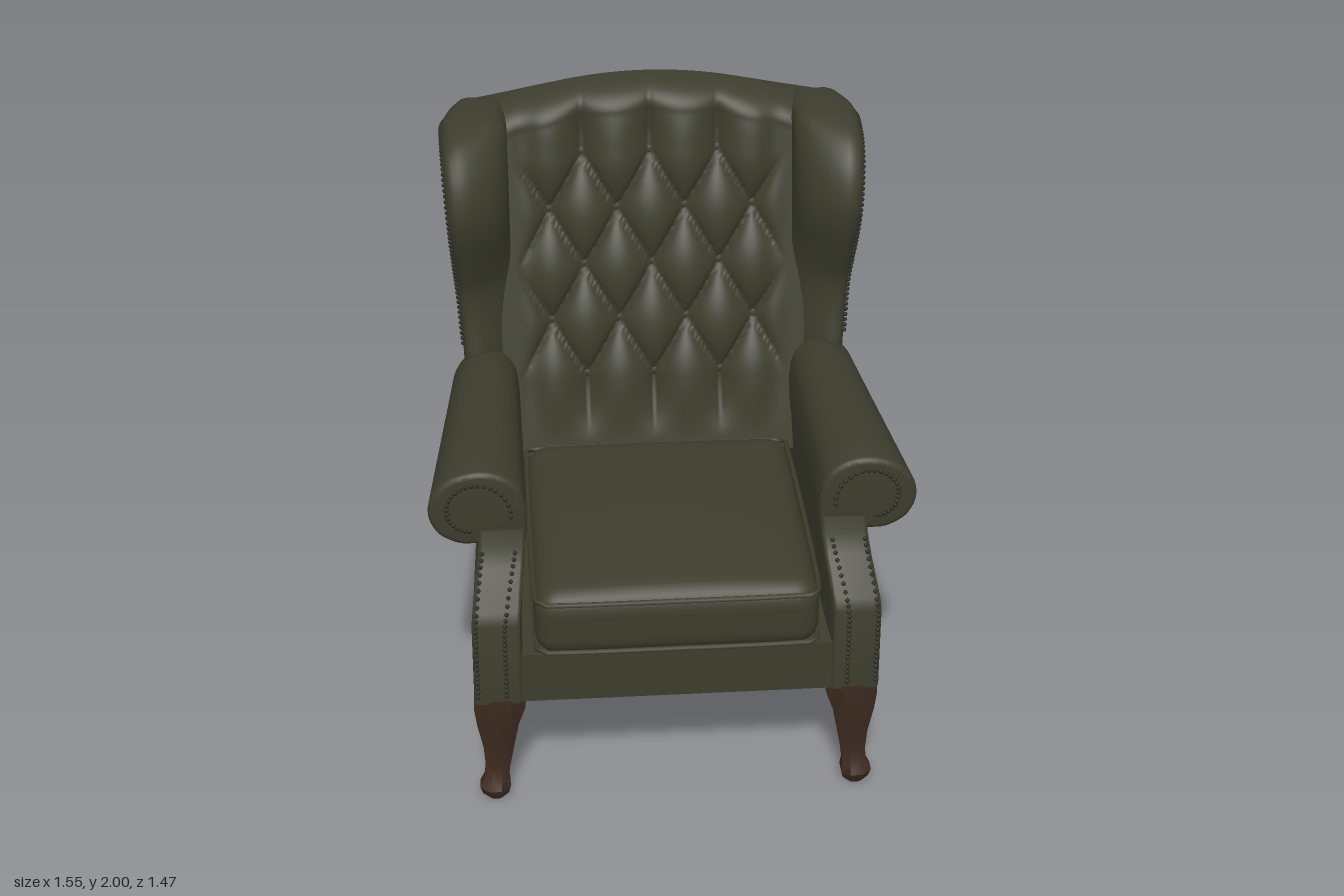
import * as THREE from 'three';
import { toCreasedNormals, mergeVertices, mergeGeometries } from 'three/addons/utils/BufferGeometryUtils.js';

const mat = (name, color) => Object.assign(new THREE.MeshStandardMaterial({ color }), { name });
const V2 = (p) => new THREE.Vector2(p[0], p[1]);
const clamp = THREE.MathUtils.clamp;
const smooth = THREE.MathUtils.smoothstep;

// Move every vertex of a geometry by a rule
function warp(geo, rule) {
  const p = geo.attributes.position, v = new THREE.Vector3();
  for (let i = 0; i < p.count; i++) {
    v.fromBufferAttribute(p, i);
    rule(v);
    p.setXYZ(i, v.x, v.y, v.z);
  }
  return geo;
}

// Extrude a bevelled outline; the bevel stays inside the outline
function extrude(shape, length, bevel, steps = 1, curveSegments = 8) {
  return new THREE.ExtrudeGeometry(shape, {
    depth: length - 2 * bevel, steps, curveSegments, bevelSize: bevel, bevelThickness: bevel,
    bevelOffset: -bevel, bevelSegments: 4,
  }).translate(0, 0, bevel);
}

// Extrude a (z, y) side outline across x, from x0 to x1
function sideways(shape, x0, x1, bevel, steps) {
  return extrude(shape, x1 - x0, bevel, steps).rotateY(-Math.PI / 2).translate(x1, 0, 0);
}

// Smooth welded normals
function weld(geo) {
  geo.deleteAttribute('uv');
  geo.deleteAttribute('normal');
  geo = mergeVertices(geo, 1e-5);
  geo.computeVertexNormals();
  return geo;
}

// Leg through sections [y, centreX, centreZ, width, depth], chamfered square
function legGeometry(rows) {
  const n = rows.length - 1;
  const geo = new THREE.CylinderGeometry(0.541, 0.541, 1, 8, n).rotateY(Math.PI / 8);
  warp(geo, (v) => {
    const r = rows[Math.round((0.5 - v.y) * n)];
    v.set(r[1] + v.x * r[3], r[0], r[2] + v.z * r[4]);
  });
  return toCreasedNormals(geo, 0.7);
}

// Rows of small domed nails at the given points
function nails(points, r = 0.008) {
  return mergeGeometries(points.map((p) => new THREE.SphereGeometry(r, 6, 4).translate(p.x, p.y, p.z)));
}

const backZ = (y) => -0.5 - (y - 0.4) * 0.148;
const frontZ = (y) => -0.27 - (y - 0.85) * 0.25;
const topY = (x) => 2 - 0.3 * x * x;

// Tufting depth: diamonds between the buttons, straight flutes above and below
function tuft(x, y) {
  const u = x / 0.23, v = clamp((y - 1.77) / 0.375, -2, 0);
  const a = Math.abs(Math.sin(Math.PI * (u + v))), b = Math.abs(Math.sin(Math.PI * (u - v)));
  const edge = 1 - smooth(Math.abs(x), 0.36, 0.47);
  const fade = smooth(y, 0.8, 1.0) * (1 - 0.7 * smooth(y, 1.82, 1.97));
  return (Math.pow(a * b, 0.35) - 0.75) * 0.07 * edge * fade;
}

export function createModel() {
  const leather = mat('olive leather', 0x3c3d2d);
  const trim = mat('dark olive trim', 0x2b2c20);
  const wood = mat('dark wood', 0x3d2b20);
  const chair = new THREE.Group();
  chair.name = 'wingArmchair';
  const add = (parent, name, geo, material) => {
    const m = new THREE.Mesh(geo, material);
    m.name = name;
    parent.add(m);
    return m;
  };

  // Seat base and front rail
  const base = new THREE.Shape([[-0.49, 0.4], [0.69, 0.4], [0.69, 0.58], [-0.51, 0.58]].map(V2));
  add(chair, 'seatBase', toCreasedNormals(sideways(base, -0.6, 0.6, 0.012), 0.6), leather);

  // Seat cushion: rounded box with a crowned top
  const half = [0.455, 0.12, 0.49], r = 0.075;
  const cushion = warp(new THREE.BoxGeometry(0.91, 0.24, 0.98, 36, 14, 36), (v) => {
    const q = new THREE.Vector3(...v.toArray().map((c, i) => clamp(c, r - half[i], half[i] - r)));
    const d = v.clone().sub(q);
    if (d.lengthSq() > 0) v.copy(q).add(d.setLength(r));
    const crown = (1 - (v.x / 0.455) ** 2) * (1 - (v.z / 0.49) ** 2);
    if (v.y > 0) v.y += 0.035 * crown;
    v.z += 0.24;
    v.y += 0.7;
  });
  add(chair, 'seatCushion', weld(cushion), leather);

  // Cushion piping along the upper and lower seams
  for (const y of [0.79, 0.61]) {
    const w = 0.45, f = 0.725, b = -0.24, c = 0.06;
    const pts = [[-w, b + c], [-w, f - c], [-w + c, f], [0, f + 0.004], [w - c, f], [w, f - c], [w, b + c], [w - c, b], [c - w, b]];
    const path = new THREE.CatmullRomCurve3(pts.map(([x, z]) => new THREE.Vector3(x, y, z)), true, 'catmullrom', 0.3);
    add(chair, 'cushionPiping', new THREE.TubeGeometry(path, 80, 0.009, 6, true), leather);
  }

  // Outer back: arched panel leaning backwards
  const back = new THREE.Shape();
  back.moveTo(-0.61, 0.4);
  back.lineTo(0.61, 0.4);
  back.lineTo(0.62, 1.9);
  back.splineThru([[0.48, 1.925], [0.25, 1.965], [0, 1.985], [-0.25, 1.965], [-0.48, 1.925], [-0.62, 1.9]].map(V2));
  const backGeo = warp(extrude(back, 0.1, 0.02), (v) => { v.z += backZ(v.y); });
  add(chair, 'outerBack', toCreasedNormals(backGeo, 0.6), leather);

  // Tufted inner back, rolling over at the top
  const tufted = warp(new THREE.PlaneGeometry(1, 1, 100, 120), (v) => {
    const x = v.x * 1.04, t = v.y + 0.5, top = topY(x);
    const k = Math.min(t / 0.85, 1), arc = clamp((t - 0.85) / 0.15, 0, 1) * Math.PI / 2;
    const y = 0.75 + k * (top - 0.09 - 0.75) + 0.09 * Math.sin(arc);
    const z = frontZ(Math.min(y, top - 0.09)) - 0.15 * (1 - Math.cos(arc)) + tuft(x, y) * Math.cos(arc);
    v.set(x, y, z);
  });
  tufted.computeVertexNormals();
  leather.side = THREE.DoubleSide;
  add(chair, 'tuftedBack', tufted, leather);

  // Buttons at the corners of the diamonds
  for (let row = 0; row < 5; row++) {
    const y = 1.77 - row * 0.1875;
    for (const u of row % 2 ? [-1.5, -0.5, 0.5, 1.5] : [-1, 0, 1]) {
      const x = u * 0.23;
      const button = add(chair, 'backButton', new THREE.SphereGeometry(0.017, 10, 6), leather);
      button.scale.z = 0.6;
      button.position.set(x, y, frontZ(y) + tuft(x, y) + 0.006);
    }
  }

  // Side outline of the arm wall, (z, y)
  const lip = [[0.7, 0.4], [0.7, 0.7], [0.685, 0.74], [0.63, 0.785], [0.575, 0.84], [0.54, 0.9], [0.525, 0.98]];
  const lipZ = (y) => {
    const i = Math.max(1, lip.findIndex((p) => p[1] >= y));
    const [a, b] = [lip[i - 1], lip[i]];
    return a[0] + (b[0] - a[0]) * (y - a[1]) / (b[1] - a[1]);
  };
  const wallShape = new THREE.Shape([...lip, [-0.3, 0.98], [-0.58, 0.95], [-0.495, 0.4]].map(V2));

  // Scroll outline of the arm, (x, y)
  const scroll = new THREE.Shape();
  scroll.moveTo(0.665, 0.9);
  scroll.lineTo(0.47, 0.9);
  scroll.lineTo(0.465, 1.02);
  scroll.splineThru([[0.485, 1.1], [0.54, 1.148], [0.62, 1.165], [0.71, 1.14], [0.765, 1.08], [0.778, 1.01], [0.75, 0.945], [0.7, 0.91], [0.665, 0.9]].map(V2));

  // Wing outline, (z, y)
  const wingEdge = [[-0.27, 1.15], [-0.295, 1.27], [-0.295, 1.37], [-0.255, 1.48], [-0.21, 1.6], [-0.2, 1.7],
    [-0.235, 1.81], [-0.31, 1.89], [-0.42, 1.928], [-0.55, 1.935], [-0.65, 1.93], [-0.715, 1.9]].map(V2);
  const wingShape = new THREE.Shape();
  wingShape.moveTo(backZ(0.9) + 0.005, 0.9);
  wingShape.lineTo(-0.27, 0.9);
  wingShape.lineTo(-0.27, 1.15);
  wingShape.splineThru(wingEdge.slice(1));
  const wingOuter = (y, z) => 0.7 - 0.045 * clamp((1.9 - y) / 0.7, 0, 1.2) - 0.06 * smooth(-z, 0.5, 0.73);

  // One side, mirrored for the other
  for (const [label, sx] of [['left', 1], ['right', -1]]) {
    const side = new THREE.Group();
    side.name = label + 'Side';
    side.scale.x = sx;
    chair.add(side);

    const wall = warp(sideways(wallShape, 0.5, 0.655, 0.014), (v) => {
      const up = smooth(v.y, 0.66, 0.95), t = (v.x - 0.5) / 0.155;
      v.x -= up * 0.03 + t * 0.035 * clamp((0.7 - v.z) / 1.2, 0, 1);
    });
    add(side, 'armWall', toCreasedNormals(wall, 0.6), leather);

    const roll = warp(extrude(scroll, 0.87, 0.02, 6), (v) => {
      v.z -= 0.34;
      const k = clamp((0.53 - v.z) / 0.78, 0, 1.1);
      v.x = 0.47 + (v.x - 0.47) * (1 - 0.25 * k);
      if (v.y > 1) v.y -= 0.02 * k;
    });
    add(side, 'rolledArm', toCreasedNormals(roll, 0.7), leather);

    const wing = warp(sideways(wingShape, 0.48, 0.7, 0.055, 3), (v) => {
      const t = (v.x - 0.48) / 0.22;
      v.x = 0.48 + t * (wingOuter(v.y, v.z) - 0.48);
      v.z -= 0.13 * (1 - t) ** 2 * smooth(v.z, -0.5, -0.25);
    });
    add(side, 'wing', toCreasedNormals(wing, 0.7), leather);

    // Nail rows on the wing, the arm front and the scroll
    const wingNails = new THREE.SplineCurve(wingEdge.slice(0, 11)).getSpacedPoints(56).map((p) => {
      const z = -0.5 + (p.x + 0.5) * 0.84, y = 1.45 + (p.y - 1.45) * 0.9;
      return new THREE.Vector3(wingOuter(y, z) - 0.001, y, z);
    });
    add(side, 'wingNails', nails(wingNails), trim);
    const armNails = [];
    for (let i = 0; i < 26; i++) {
      const y = 0.43 + i * 0.018, s = smooth(y, 0.66, 0.95);
      for (const x of [0.55 - 0.05 * s, 0.642 - 0.035 * s]) armNails.push(new THREE.Vector3(x, y, lipZ(y)));
    }
    for (let i = 0; i <= 24; i++) {
      const a = Math.PI * (1.05 - i * 0.062), rad = 0.12 - i * 0.0022;
      armNails.push(new THREE.Vector3(0.635 + rad * Math.cos(a), 1.02 + rad * Math.sin(a), 0.53));
    }
    add(side, 'armNails', nails(armNails), trim);

    // Curved front leg and raked back leg
    add(side, 'frontLeg', legGeometry([
      [0.41, 0.57, 0.625, 0.17, 0.15], [0.35, 0.575, 0.632, 0.165, 0.14], [0.29, 0.582, 0.643, 0.135, 0.1],
      [0.2, 0.582, 0.645, 0.1, 0.075], [0.12, 0.587, 0.645, 0.08, 0.06], [0.08, 0.592, 0.648, 0.08, 0.07],
      [0.045, 0.598, 0.652, 0.1, 0.1], [0.015, 0.597, 0.648, 0.085, 0.085], [0, 0.595, 0.645, 0.06, 0.065]]), wood);
    add(side, 'backLeg', legGeometry([
      [0.41, 0.55, -0.43, 0.11, 0.11], [0.28, 0.552, -0.445, 0.1, 0.095],
      [0.14, 0.562, -0.465, 0.09, 0.08], [0, 0.575, -0.485, 0.08, 0.07]]), wood);
  }
  return chair;
}
